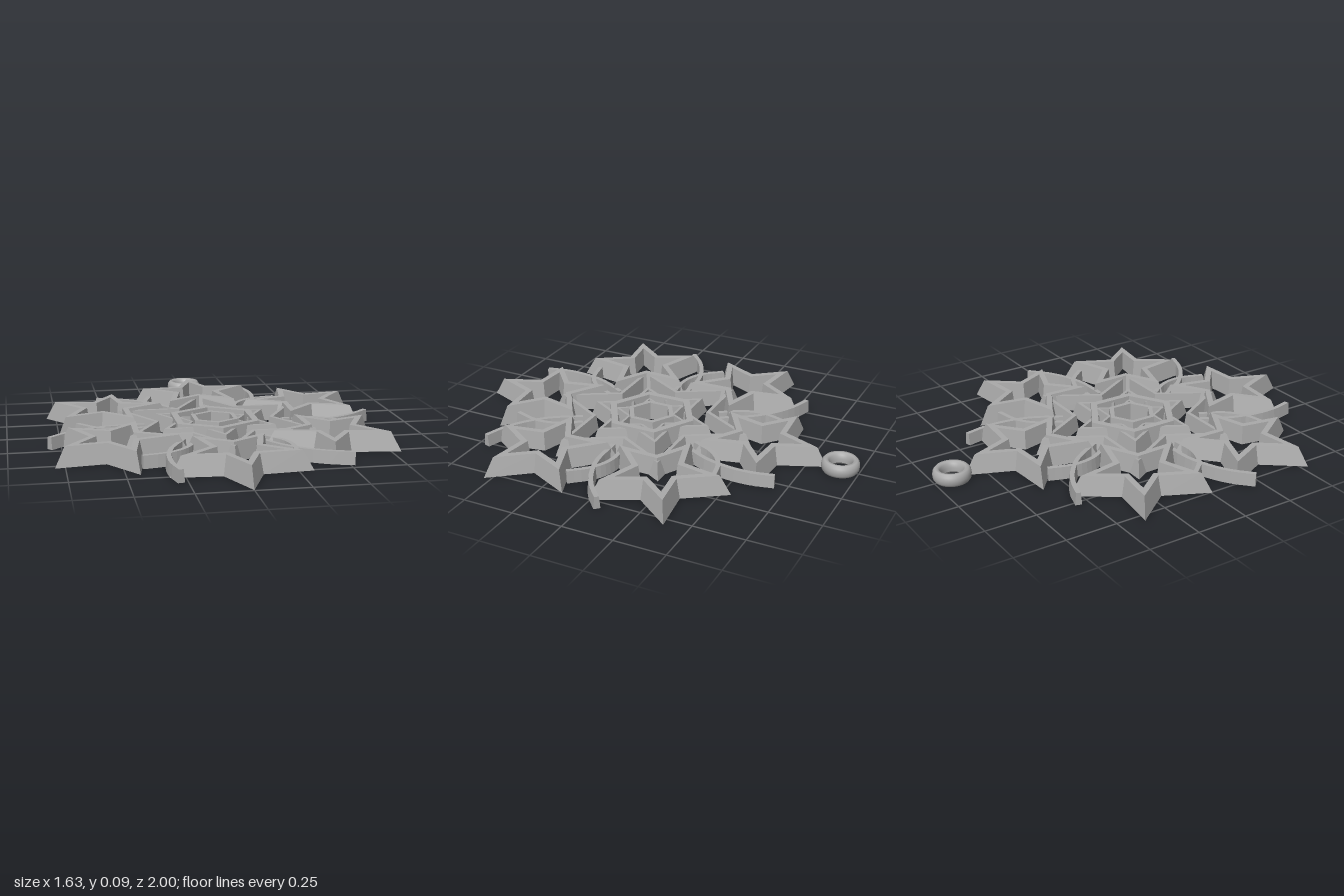
import * as THREE from 'three';

const silver = new THREE.MeshStandardMaterial({ color: 0xaaaaaa });
silver.name = 'silver grey';

// Sweep a section of [sideways offset, height] points along a flat path.
// Path points are [x, -z]; positive offsets lie to the right of travel.
function band(path, section, closed = true) {
  const n = path.length, pos = [];
  const normal = (i, j) => {
    const a = path[(i + n) % n], b = path[(j + n) % n];
    return new THREE.Vector2(b[1] - a[1], a[0] - b[0]).normalize();
  };
  const rings = path.map((p, i) => {
    const before = !closed && i === 0 ? normal(0, 1) : normal(i - 1, i);
    const after = !closed && i === n - 1 ? before : normal(i, i + 1);
    const mitre = before.clone().add(after).divideScalar(1 + before.dot(after));
    return section.map(([d, y]) => [p[0] + mitre.x * d, y, -(p[1] + mitre.y * d)]);
  });
  const quad = (a, b, c, d) => pos.push(...a, ...b, ...c, ...a, ...c, ...d);
  const m = section.length;
  for (let i = 0; i < (closed ? n : n - 1); i++) {
    const r = rings[i], s = rings[(i + 1) % n];
    for (let k = 0; k < m; k++) quad(r[k], s[k], s[(k + 1) % m], r[(k + 1) % m]);
  }
  if (!closed) {
    const e = rings[n - 1];
    quad(...rings[0]);
    quad(e[3], e[2], e[1], e[0]);
  }
  const g = new THREE.BufferGeometry();
  g.setAttribute('position', new THREE.Float32BufferAttribute(pos, 3));
  g.computeVertexNormals();
  return g;
}

// Star outline with alternating radii, first tip along the given angle
function star(points, outer, inner, start = 0, cx = 0) {
  return Array.from({ length: points * 2 }, (_, i) => {
    const a = start + (i * Math.PI) / points, r = i % 2 ? inner : outer;
    return [cx + r * Math.cos(a), r * Math.sin(a)];
  });
}

function hexagon(r) {
  return Array.from({ length: 6 }, (_, i) => {
    const a = Math.PI / 2 + (i * Math.PI) / 3;
    return [r * Math.cos(a), r * Math.sin(a)];
  });
}

// Bevelled wall section measured inward from the outer foot
const wall = (width, bevel, h) =>
  [[0, 0], [-bevel, h], [-width + bevel * 0.5, h], [-width, 0]];

function curlPath(points) {
  const curve = new THREE.CatmullRomCurve3(points.map(([x, y]) => new THREE.Vector3(x, y, 0)));
  return curve.getPoints(12).map(p => [p.x, p.y]);
}

export function createModel() {
  const model = new THREE.Group();
  model.name = 'snowflakeOrnament';
  const flake = new THREE.Group();
  flake.name = 'snowflake';
  flake.position.z = 0.075;
  model.add(flake);

  const add = (parent, name, geometry) => {
    const mesh = new THREE.Mesh(geometry, silver);
    mesh.name = name;
    parent.add(mesh);
    return mesh;
  };

  // Six large five-pointed stars
  const starGeo = band(star(5, 0.336, 0.15, 0, 0.584), wall(0.058, 0.02, 0.092));

  // Swirling curls in the gaps between the stars
  const strip = [[0.016, 0], [0.011, 0.06], [-0.011, 0.06], [-0.016, 0]];
  const longCurl = band(curlPath(
    [[0.34, -0.03], [0.5, -0.025], [0.62, 0.01], [0.72, 0.065], [0.805, 0.14]]), strip, false);
  const shortCurl = band(curlPath(
    [[0.34, 0.03], [0.47, 0.035], [0.57, -0.005], [0.66, -0.1]]), strip, false);

  for (let i = 0; i < 6; i++) {
    const a = (i * Math.PI) / 3;
    add(flake, 'outerStar', starGeo).rotation.y = a + Math.PI / 6;
    add(flake, 'longCurl', longCurl).rotation.y = a;
    add(flake, 'shortCurl', shortCurl).rotation.y = a;
  }

  // Nested six-pointed stars and hexagons at the centre
  const up = Math.PI / 2;
  add(flake, 'middleStar', band(star(6, 0.545, 0.315, up), wall(0.045, 0.018, 0.078)));
  add(flake, 'innerStar', band(star(6, 0.34, 0.197, up), wall(0.038, 0.015, 0.078)));
  add(flake, 'coreStar', band(star(6, 0.225, 0.13, up), wall(0.03, 0.012, 0.07)));
  add(flake, 'outerHexagon', band(hexagon(0.238), wall(0.042, 0.007, 0.09)));
  add(flake, 'innerHexagon', band(hexagon(0.13), wall(0.03, 0.006, 0.09)));

  // Hanging ring with rounded rims
  const profile = [[0.05, 0.012], [0.062, 0], [0.08, 0], [0.088, 0.012], [0.09, 0.03],
    [0.087, 0.048], [0.077, 0.06], [0.064, 0.06], [0.054, 0.05], [0.05, 0.03], [0.05, 0.012]];
  const ring = add(model, 'hangingRing',
    new THREE.LatheGeometry(profile.map(p => new THREE.Vector2(...p)), 40));
  ring.position.z = -0.91;

  return model;
}
